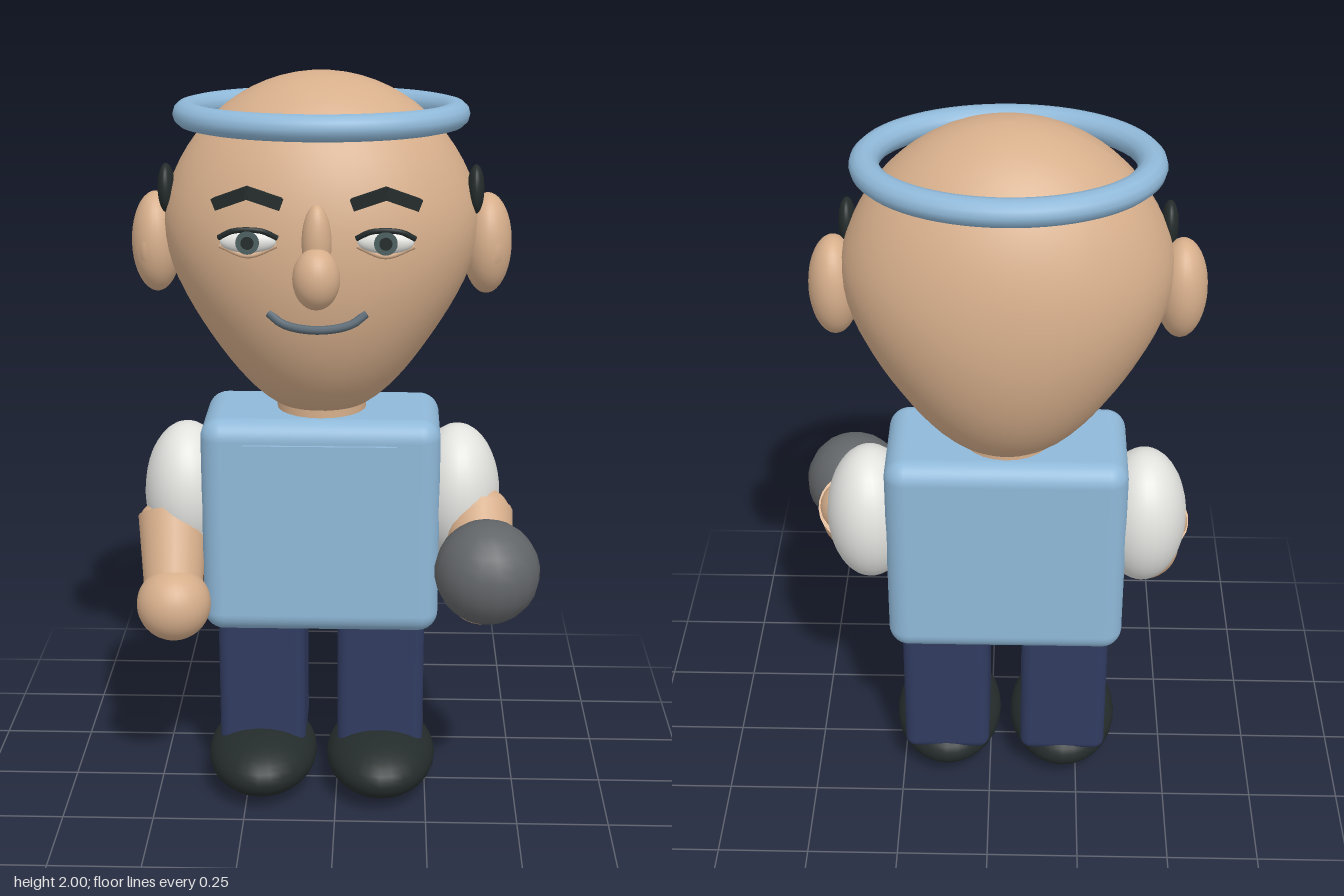
import * as THREE from 'three';
import { RoundedBoxGeometry } from 'three/addons/geometries/RoundedBoxGeometry.js';

const V = (x, y, z) => new THREE.Vector3(x, y, z);
const CX = -0.043; // the body's middle; the held ball reaches further out on one side

export function createModel() {
  const model = new THREE.Group();
  model.name = 'figure';

  const mat = (name, color) => {
    const m = new THREE.MeshStandardMaterial({ color });
    m.name = name;
    return m;
  };
  const skin = mat('skin', 0xd6ae8b);
  const blue = mat('light blue', 0x8fb8d8);
  const white = mat('off white', 0xe2e2df);
  const navy = mat('navy', 0x303b60);
  const black = mat('near black', 0x242c2b);
  const grey = mat('ball grey', 0x626568);
  const slate = mat('mouth slate', 0x596873);
  const iris = mat('iris', 0x4d5f5f);

  const add = (name, geometry, material, x = 0, y = 0, z = 0) => {
    const mesh = new THREE.Mesh(geometry, material);
    mesh.name = name;
    mesh.position.set(x, y, z);
    model.add(mesh);
    return mesh;
  };
  const ellipsoid = (name, material, x, y, z, rx, ry, rz, seg = 28) =>
    add(name, new THREE.SphereGeometry(1, seg, Math.round(seg * 0.7)).scale(rx, ry, rz), material, x, y, z);
  const tube = (name, material, points, r) =>
    add(name, new THREE.TubeGeometry(new THREE.CatmullRomCurve3(points), 16, r, 8), material);
  // Straight tapered limb between two points
  const limb = (name, material, a, b, ra, rb) => {
    const mid = a.clone().add(b).multiplyScalar(0.5);
    const mesh = add(name, new THREE.CylinderGeometry(rb, ra, a.distanceTo(b), 24), material, mid.x, mid.y, mid.z);
    mesh.quaternion.setFromUnitVectors(V(0, 1, 0), b.clone().sub(a).normalize());
    return mesh;
  };

  // Head: an egg whose jaw narrows sideways
  const egg = new THREE.SphereGeometry(1, 48, 36);
  const p = egg.attributes.position;
  for (let i = 0; i < p.count; i++) {
    const t = p.getY(i);
    const jaw = 1 - 0.25 * THREE.MathUtils.smoothstep(-t, -0.3, 0.85);
    p.setXYZ(i, p.getX(i) * 0.425 * jaw, t * 0.455, p.getZ(i) * 0.325);
  }
  egg.computeVertexNormals();
  add('head', egg, skin, CX, 1.545, -0.06);
  add('neck', new THREE.CylinderGeometry(0.12, 0.12, 0.16, 24), skin, CX, 1.13, -0.053);

  // Headband: an even tube round an ellipse
  const loop = [];
  for (let i = 0; i < 32; i++) {
    const a = (i / 32) * Math.PI * 2;
    loop.push(V(Math.cos(a) * 0.347, 0, -Math.sin(a) * 0.27));
  }
  const bandCurve = new THREE.CatmullRomCurve3(loop, true);
  add('headband', new THREE.TubeGeometry(bandCurve, 64, 0.037, 12, true).scale(1, 0.92, 1), blue, CX, 1.892, -0.061);

  // Nose
  ellipsoid('noseBridge', skin, CX, 1.62, 0.265, 0.037, 0.095, 0.04);
  ellipsoid('noseTip', skin, CX, 1.537, 0.298, 0.059, 0.077, 0.061);

  // Smile
  tube('mouth', slate, [V(CX - 0.122, 1.435, 0.235), V(CX - 0.085, 1.41, 0.25), V(CX, 1.398, 0.262),
    V(CX + 0.085, 1.41, 0.25), V(CX + 0.122, 1.435, 0.235)], 0.011);

  for (const s of [-1, 1]) {
    const X = (d) => CX + s * d;

    // Eye
    const ex = X(0.17);
    ellipsoid('eyeWhite', white, ex, 1.62, 0.252, 0.07, 0.03, 0.025);
    const disc = (name, m, r, z) =>
      add(name, new THREE.CylinderGeometry(r, r, 0.006, 24).rotateX(Math.PI / 2), m, ex, 1.622, z);
    disc('iris', iris, 0.029, 0.277);
    disc('pupil', black, 0.016, 0.28);
    tube('upperLid', black, [V(ex - 0.072, 1.63, 0.255), V(ex - 0.035, 1.65, 0.27),
      V(ex + 0.035, 1.65, 0.27), V(ex + 0.072, 1.63, 0.255)], 0.007);
    tube('lowerLid', skin, [V(ex - 0.07, 1.61, 0.25), V(ex, 1.587, 0.262), V(ex + 0.07, 1.61, 0.25)], 0.007);

    // Angled eyebrow made of two bars
    const peak = V(X(0.17), 1.745, 0.272);
    for (const end of [V(X(0.248), 1.713, 0.245), V(X(0.092), 1.715, 0.255)]) {
      const mid = peak.clone().add(end).multiplyScalar(0.5);
      const bar = add('eyebrow', new THREE.BoxGeometry(peak.distanceTo(end) + 0.008, 0.03, 0.022), black, mid.x, mid.y, mid.z);
      const dir = peak.clone().sub(end).multiplyScalar(Math.sign(peak.x - end.x)).normalize();
      bar.quaternion.setFromUnitVectors(V(1, 0, 0), dir);
    }

    // Ear and sideburn
    ellipsoid('ear', skin, X(0.435), 1.555, -0.055, 0.065, 0.133, 0.09);
    ellipsoid('innerEar', skin, X(0.447), 1.55, 0.0, 0.03, 0.065, 0.032);
    ellipsoid('sideburn', black, X(0.4), 1.705, -0.007, 0.022, 0.064, 0.045);

    // Sleeve, leg and shoe
    ellipsoid('sleeve', white, X(0.37), 0.858, -0.055, 0.117, 0.195, 0.15);
    add('leg', new RoundedBoxGeometry(0.24, 0.46, 0.26, 4, 0.03), navy, X(0.165), 0.34, -0.065);
    ellipsoid('shoe', black, X(0.167), 0.096, 0.01, 0.153, 0.093, 0.225);
  }

  // Torso with a thin front panel
  add('torso', new RoundedBoxGeometry(0.64, 0.605, 0.345, 5, 0.055), blue, CX, 0.803, -0.053);
  add('frontPanel', new THREE.BoxGeometry(0.408, 0.455, 0.009), blue, CX, 0.82, 0.13);

  // Hanging right arm
  limb('rightForearm', skin, V(-0.45, 0.8, 0.0), V(-0.44, 0.62, 0.125), 0.095, 0.078);
  ellipsoid('rightElbow', skin, -0.45, 0.79, 0.007, 0.092, 0.06, 0.092);
  ellipsoid('rightHand', skin, -0.437, 0.603, 0.148, 0.1, 0.1, 0.1);

  // Raised left arm holding a ball
  limb('leftForearm', skin, V(0.385, 0.82, 0.01), V(0.392, 0.69, 0.165), 0.093, 0.08);
  ellipsoid('leftElbow', skin, 0.385, 0.81, 0.02, 0.09, 0.09, 0.07);
  ellipsoid('leftHand', skin, 0.392, 0.673, 0.175, 0.1, 0.1, 0.1);
  ellipsoid('ball', grey, 0.399, 0.748, 0.25, 0.138, 0.138, 0.138, 18);

  return model;
}
